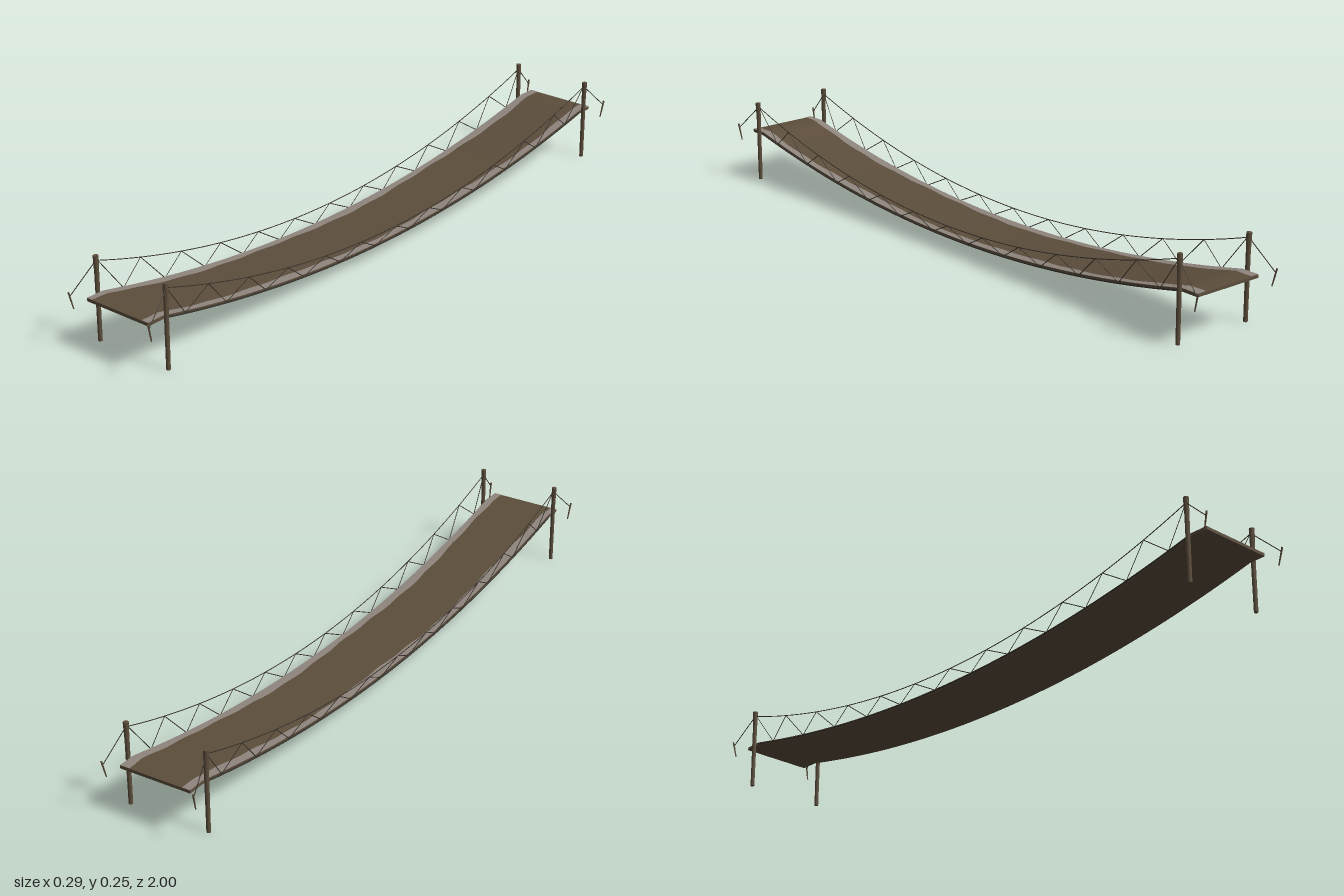
import * as THREE from 'three';

const mat = (name, color, side = THREE.FrontSide) => {
  const m = new THREE.MeshStandardMaterial({ color, side });
  m.name = name;
  return m;
};

export function createModel() {
  const wood = mat('brown wood', 0x5d4e3c);
  const rope = mat('dark rope', 0x3a342c);
  const worn = mat('grey weathered edge', 0x8f867e);

  const model = new THREE.Group();
  model.name = 'ropeBridge';

  const SPAN = 0.91, END = 0.965, HALF = 0.11, THICK = 0.009;
  // Sagging curves of the deck top and the hand rope; the deck is level past the posts
  const deckY = (z) => 0.046 + 0.101 * Math.min(1, (z / SPAN) ** 2);
  const railY = (z) => 0.08 + 0.15 * (z / SPAN) ** 2;

  const add = (name, geo, m, parent = model) => {
    const mesh = new THREE.Mesh(geo, m);
    mesh.name = name;
    parent.add(mesh);
    return mesh;
  };

  // Straight round bar between two points
  const bar = (name, a, b, r0, r1, m, parent, sides = 5) => {
    const dir = b.clone().sub(a);
    const mesh = add(name, new THREE.CylinderGeometry(r1, r0, dir.length(), sides), m, parent);
    mesh.position.copy(a).add(b).multiplyScalar(0.5);
    mesh.quaternion.setFromUnitVectors(new THREE.Vector3(0, 1, 0), dir.normalize());
    return mesh;
  };

  const V = (x, y, z) => new THREE.Vector3(x, y, z);
  const sagRope = (name, x, yAt, length, r, parent) => {
    const pts = [];
    for (let i = 0; i <= 24; i++) {
      const z = -length + (2 * length * i) / 24;
      pts.push(V(x, yAt(z), z));
    }
    add(name, new THREE.TubeGeometry(new THREE.CatmullRomCurve3(pts), 72, r, 5), rope, parent);
  };

  // Deck: a long slab bent along the sag
  const deck = new THREE.BoxGeometry(HALF * 2, THICK, END * 2, 1, 1, 72);
  const p = deck.attributes.position;
  for (let i = 0; i < p.count; i++) {
    p.setY(i, p.getY(i) - THICK / 2 + deckY(p.getZ(i)));
  }
  deck.computeVertexNormals();
  add('deck', deck, wood);

  for (const s of [-1, 1]) {
    const side = new THREE.Group();
    side.name = s > 0 ? 'leftSide' : 'rightSide';
    model.add(side);

    // Weathered strip with a wavy inner edge
    const strip = new THREE.PlaneGeometry(1, END * 2, 1, 72);
    strip.rotateX(-Math.PI / 2);
    const q = strip.attributes.position;
    for (let i = 0; i < q.count; i++) {
      const z = q.getZ(i);
      const inner = 0.086 + 0.004 * Math.sin(z * 9 + s) + 0.002 * Math.sin(z * 41);
      const outward = q.getX(i) * s > 0;
      q.setXYZ(i, s * (outward ? HALF : inner), deckY(z) + 0.001, z);
    }
    strip.computeVertexNormals();
    add('weatheredEdge', strip, worn, side);

    // Ropes: one along the deck edge, one as a handrail
    sagRope('deckRope', s * 0.112, (z) => deckY(z) - 0.005, SPAN, 0.0025, side);
    sagRope('handRope', s * 0.123, railY, SPAN, 0.0013, side);

    // Zigzag lacing between the two ropes
    const bays = 12, step = (2 * SPAN) / bays;
    for (let i = 0; i < bays; i++) {
      const z = -SPAN + i * step;
      const low = V(s * 0.112, deckY(z + step / 2) - 0.004, z + step / 2);
      for (const zt of [z, z + step]) {
        bar('lacing', low, V(s * 0.123, railY(zt), zt), 0.0012, 0.0012, rope, side, 4);
      }
    }

    for (const e of [-1, 1]) {
      // Post, slightly thicker towards the top
      bar('post', V(s * 0.124, 0, e * 0.914), V(s * 0.1245, 0.2, e * 0.914), 0.006, 0.0065, wood, side, 8);
      bar('postHead', V(s * 0.1245, 0.195, e * 0.914), V(s * 0.1255, 0.245, e * 0.914), 0.0065, 0.0078, wood, side, 8);
      // Guy rope and its leaning stake
      bar('guyRope', V(s * 0.127, 0.228, e * 0.915), V(s * 0.1425, 0.152, e * 0.995), 0.0013, 0.0013, rope, side);
      bar('stake', V(s * 0.1405, 0.114, e * 0.985), V(s * 0.1435, 0.164, e * 0.9975), 0.0018, 0.0028, wood, side, 6);
    }
  }
  return model;
}
